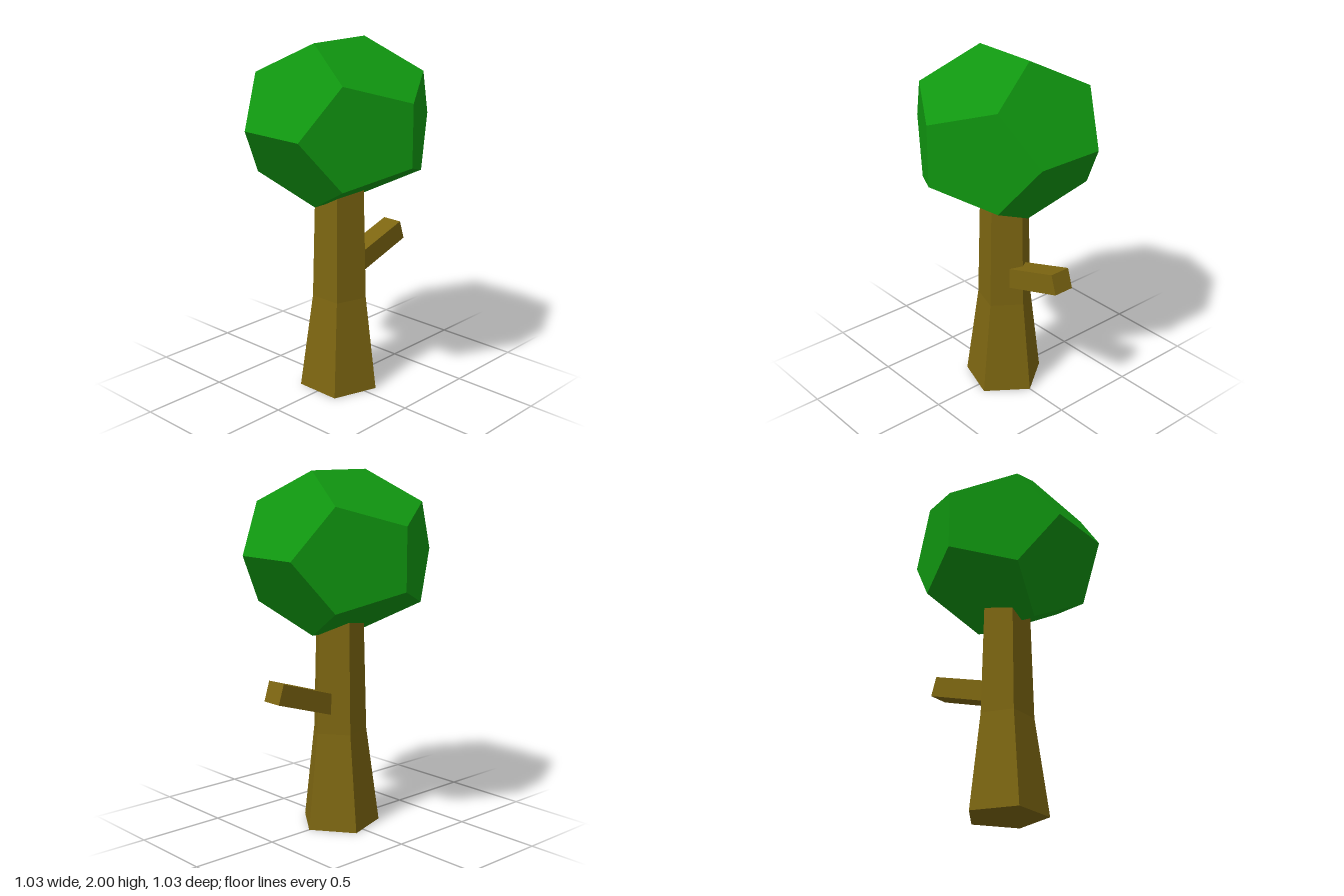
import * as THREE from 'three';

const leafGreen = new THREE.MeshStandardMaterial({ color: 0x109610, flatShading: true });
leafGreen.name = 'leaf green';
const barkBrown = new THREE.MeshStandardMaterial({ color: 0x7d6611, flatShading: true });
barkBrown.name = 'bark brown';

function addPart(group, name, geometry, material) {
  const mesh = new THREE.Mesh(geometry, material);
  mesh.name = name;
  group.add(mesh);
  return mesh;
}

export function createModel() {
  const tree = new THREE.Group();
  tree.name = 'tree';

  // Crown: a dodecahedron flattened a little in height
  const phi = (1 + Math.sqrt(5)) / 2;
  const crownReach = 0.515;
  const crownGeometry = new THREE.DodecahedronGeometry(crownReach * Math.sqrt(3) / phi);
  crownGeometry.scale(1, 0.445 / crownReach, 1);
  addPart(tree, 'crown', crownGeometry, leafGreen).position.y = 1.555;

  // Trunk: five-sided, flared at the foot, closed at both ends
  const profile = [[0, 0], [0.23, 0], [0.159, 0.55], [0.142, 1.18], [0.136, 1.4], [0, 1.4]]
    .map(([r, y]) => new THREE.Vector2(r, y));
  const trunkGeometry = new THREE.LatheGeometry(profile, 5, Math.PI / 2).toNonIndexed();
  const p = trunkGeometry.attributes.position;
  // Slight lean above the foot
  for (let i = 0; i < p.count; i++) {
    if (p.getY(i) > 0.5) p.setX(i, p.getX(i) + 0.006);
  }
  trunkGeometry.computeVertexNormals();
  addPart(tree, 'trunk', trunkGeometry, barkBrown);

  // Branch: a square stub rising to the side, rooted inside the trunk
  const length = 0.45, angle = THREE.MathUtils.degToRad(17.6);
  const branch = addPart(tree, 'branch', new THREE.BoxGeometry(length, 0.115, 0.122), barkBrown);
  branch.rotation.z = angle;
  branch.position.set(
    0.4725 - Math.cos(angle) * length / 2,
    0.835 - Math.sin(angle) * length / 2,
    0
  );

  return tree;
}
